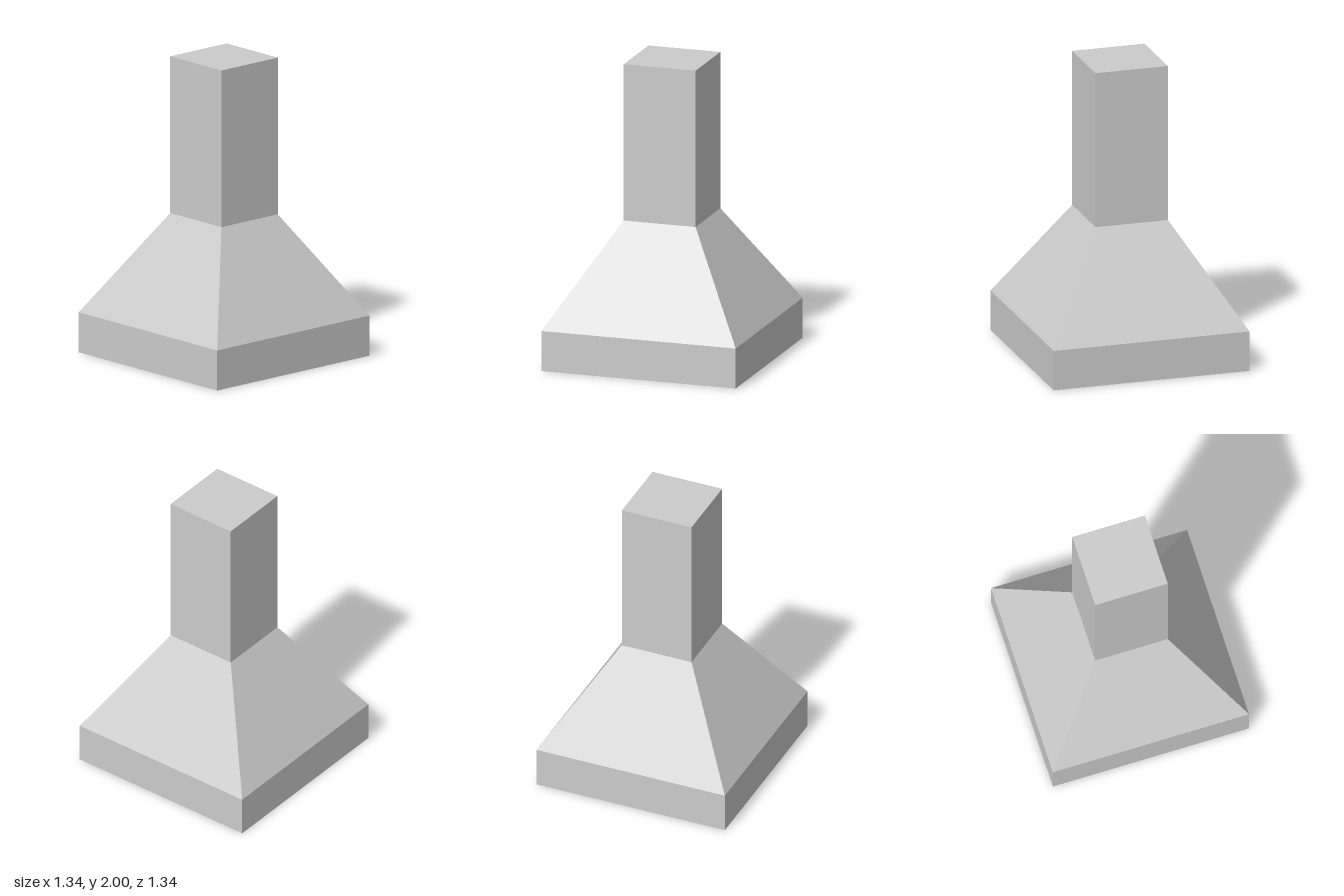
import * as THREE from 'three';

const BASE = 0.67;   // half width of the hood rim
const FLUE = 0.248;  // half width of the chimney

// Square-sided shell turned from a [half width, height] profile, bottom to top
function squareShell(name, profile, material) {
  const points = profile.map(([half, y]) => new THREE.Vector2(half * Math.SQRT2, y));
  const geometry = new THREE.LatheGeometry(points, 4, Math.PI / 4).toNonIndexed();
  geometry.computeVertexNormals();
  const mesh = new THREE.Mesh(geometry, material);
  mesh.name = name;
  return mesh;
}

export function createModel() {
  const material = new THREE.MeshStandardMaterial({ color: 0xcccccc, flatShading: true });
  const model = new THREE.Group();
  model.name = 'chimneyHood';

  model.add(
    // Straight rim, closed underneath
    squareShell('rim', [[0, 0], [BASE, 0], [BASE, 0.27]], material),
    // Sloped hood narrowing to the chimney
    squareShell('hood', [[BASE, 0.27], [FLUE, 0.945]], material),
    // Tall chimney, closed on top
    squareShell('chimney', [[FLUE, 0.945], [FLUE, 2], [0, 2]], material)
  );
  return model;
}
